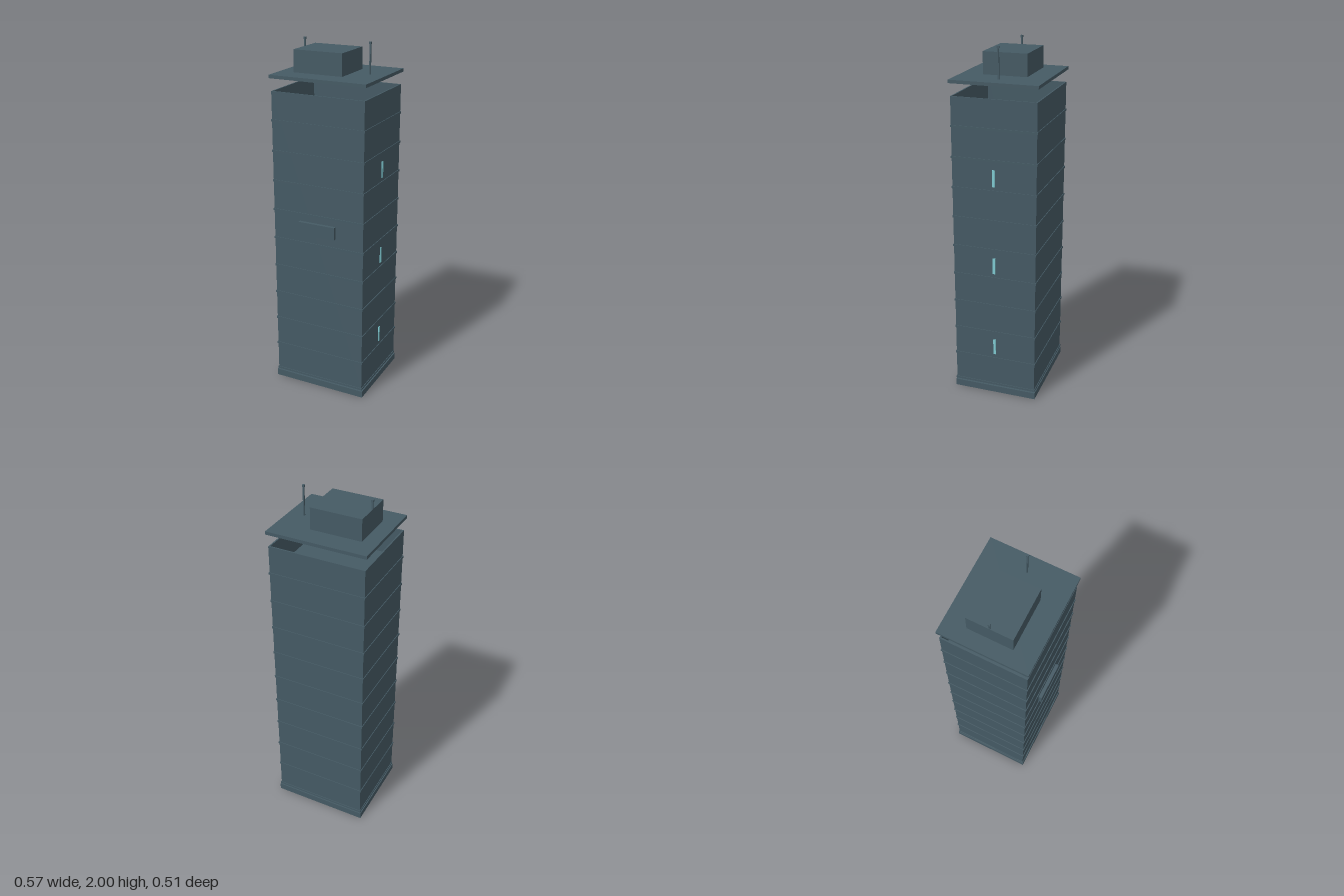
import * as THREE from 'three';

export function createModel() {
  const model = new THREE.Group();
  model.name = 'tower';
  const slate = new THREE.MeshStandardMaterial({ color: 0x455a64 });
  slate.name = 'slate blue';
  const glass = new THREE.MeshStandardMaterial({ color: 0x80cbd3 });
  glass.name = 'pale cyan glass';
  const ZC = -0.009; // the tower sits slightly behind the sign

  // Box given by its extents on each axis
  function box(name, [x0, x1], [y0, y1], [z0, z1], material = slate) {
    const mesh = new THREE.Mesh(new THREE.BoxGeometry(x1 - x0, y1 - y0, z1 - z0), material);
    mesh.position.set((x0 + x1) / 2, (y0 + y1) / 2, (z0 + z1) / 2);
    mesh.name = name;
    model.add(mesh);
    return mesh;
  }
  const around = (half, centre = 0) => [centre - half, centre + half];

  // Foundation
  box('foundation', around(0.281), [0, 0.039], around(0.2435, ZC));

  // Hollow shell, open at the top
  const W = 0.274, D = 0.238, T = 0.008;
  const outline = new THREE.Shape([
    new THREE.Vector2(-W, -D), new THREE.Vector2(W, -D),
    new THREE.Vector2(W, D), new THREE.Vector2(-W, D),
  ]);
  outline.holes.push(new THREE.Path([
    new THREE.Vector2(-W + T, -D + T), new THREE.Vector2(-W + T, D - T),
    new THREE.Vector2(W - T, D - T), new THREE.Vector2(W - T, -D + T),
  ]));
  const shellGeometry = new THREE.ExtrudeGeometry(outline, { depth: 1.695, bevelEnabled: false });
  shellGeometry.rotateX(-Math.PI / 2);
  const shell = new THREE.Mesh(shellGeometry, slate);
  shell.position.set(0, 0.046, ZC);
  shell.name = 'outerWalls';
  model.add(shell);

  // Floor slabs, their edges showing as thin bands outside
  for (let i = 0; i < 10; i++) {
    const y = 0.052 + i * 0.17;
    box('floorSlab', around(0.278), around(0.006, y), around(0.242, ZC));
  }

  // Slit windows on the left wall
  for (const y of [0.298, 0.806, 1.315]) {
    box('slitWindow', [0.271, 0.278], around(0.047, y), around(0.0075, ZC + 0.001), glass);
  }

  // Sign plate on the front
  box('signPlate', around(0.11), [0.96, 1.032], [0.232, 0.252]);

  // Raised roof with its machine room
  box('roof', around(0.283), [1.81, 1.828], around(0.245, ZC));
  box('machineRoom', [-0.199, 0.09], [1.828, 1.95], around(0.124, ZC));

  // Antennas
  for (const x of [-0.195, 0.193]) {
    box('antennaMast', around(0.004, x), [1.828, 1.99], around(0.004, ZC));
    box('antennaTip', around(0.006, x), [1.988, 2], around(0.006, ZC));
  }
  return model;
}
